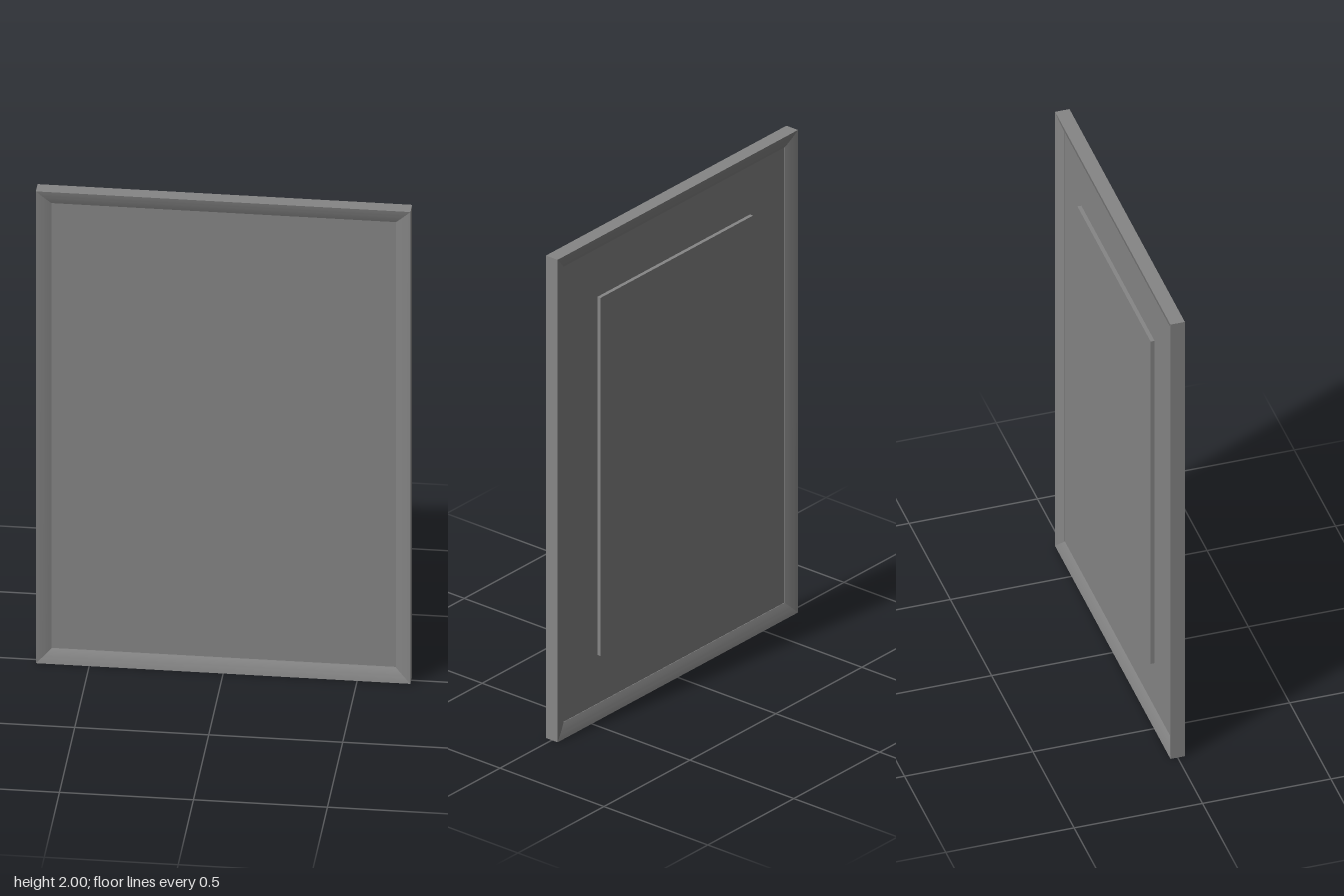
import * as THREE from 'three';
import { toCreasedNormals } from 'three/addons/utils/BufferGeometryUtils.js';

const HALF_W = 0.699, HALF_H = 1, HALF_D = 0.028;
const RAIL = 0.056;      // visible width of the moulding
const INNER_Z = 0.01;    // half depth of the moulding at its inner edge

// Closed moulding section as [inset, z]: flat outside, rounded faces sloping to a thin inner lip
function mouldingProfile(steps = 8) {
  const front = [];
  for (let i = 0; i <= steps; i++) {
    const t = i / steps;
    front.push([RAIL * t, HALF_D - (HALF_D - INNER_Z) * (0.65 * t + 0.35 * t * t)]);
  }
  const back = front.map(([inset, z]) => [inset, -z]).reverse();
  return [...front, ...back];
}

// Sweep the section round the four mitred corners, keeping the mitres crisp
function mitredFrame(profile) {
  const corners = [[-1, -1], [1, -1], [1, 1], [-1, 1]];
  const positions = [], index = [];
  const n = profile.length;
  for (const [sx, sy] of corners) {
    for (const [inset, z] of profile) {
      positions.push(sx * (HALF_W - inset), sy * (HALF_H - inset), z);
    }
  }
  for (let c = 0; c < 4; c++) {
    for (let i = 0; i < n; i++) {
      const a = c * n + i, b = c * n + (i + 1) % n;
      const d = ((c + 1) % 4) * n + i, e = ((c + 1) % 4) * n + (i + 1) % n;
      index.push(a, d, b, b, d, e);
    }
  }
  const geometry = new THREE.BufferGeometry();
  geometry.setAttribute('position', new THREE.Float32BufferAttribute(positions, 3));
  geometry.setIndex(index);
  return toCreasedNormals(geometry, 0.24);
}

export function createModel() {
  const group = new THREE.Group();
  group.name = 'pictureFrame';
  const material = new THREE.MeshStandardMaterial({ color: 0x868686 });

  function add(name, geometry, z = 0) {
    const mesh = new THREE.Mesh(geometry, material);
    mesh.name = name;
    mesh.position.set(0, HALF_H, z);
    group.add(mesh);
  }

  add('frameMoulding', mitredFrame(mouldingProfile()));

  // Main panel, tucked slightly into the moulding
  const overlap = 0.004;
  add('panel', new THREE.BoxGeometry(
    2 * (HALF_W - RAIL + overlap), 2 * (HALF_H - RAIL + overlap), 0.013), -0.0015);

  // Smaller raised board on the back
  add('backBoard', new THREE.BoxGeometry(0.888, 1.484, 0.016), -0.015);

  return group;
}
